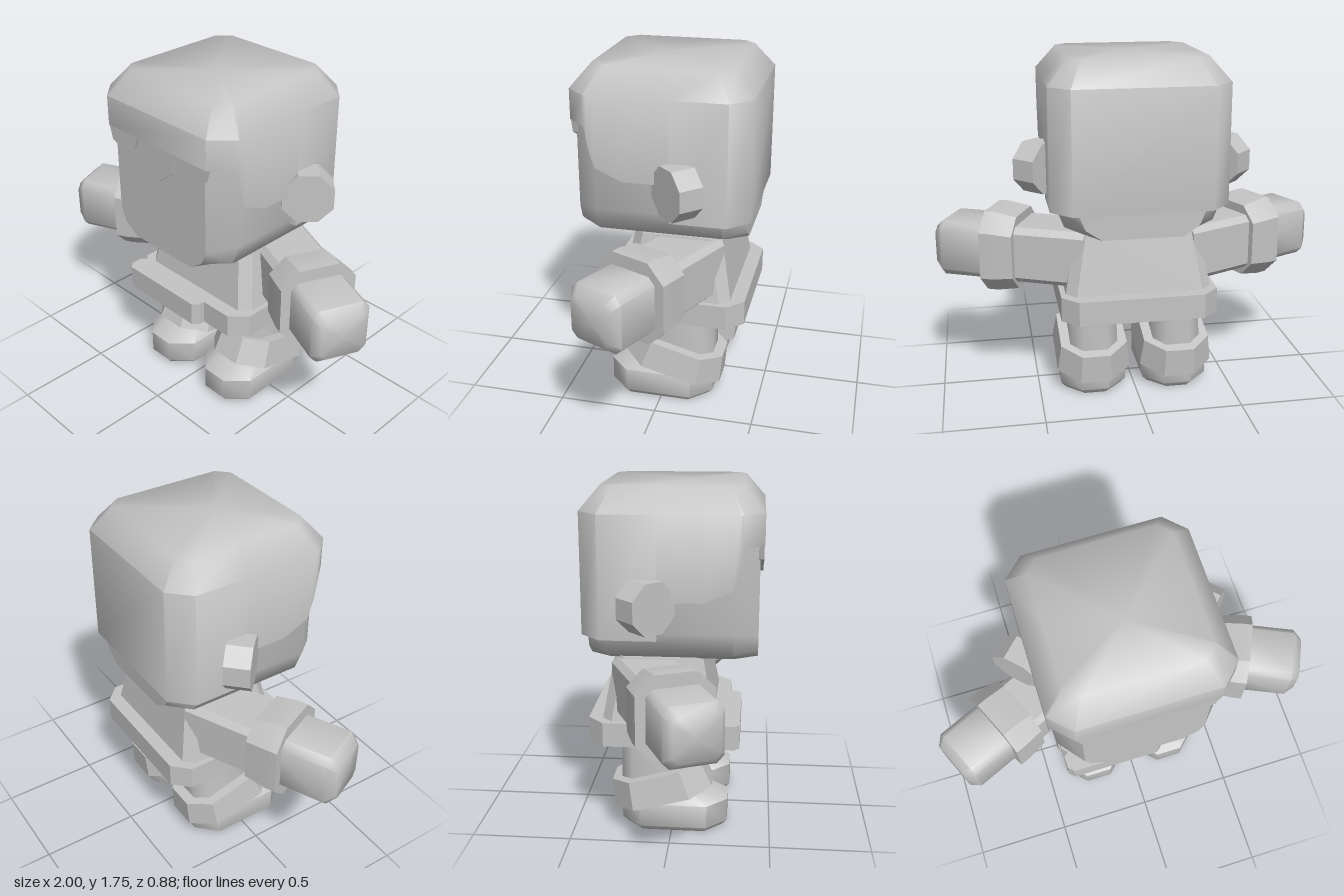
import * as THREE from 'three';
import { toCreasedNormals } from 'three/addons/utils/BufferGeometryUtils.js';

const grey = new THREE.MeshStandardMaterial({ color: 0xc4c4c4 });
grey.name = 'plain grey';

function add(parent, name, geometry) {
  const mesh = new THREE.Mesh(geometry, grey);
  mesh.name = name;
  parent.add(mesh);
  return mesh;
}

// Closed skin through rings of equal point count, wound outward
function skin(rings, crease = 0.7) {
  const tris = [];
  const n = rings[0].length;
  for (let r = 0; r + 1 < rings.length; r++) {
    const a = rings[r], b = rings[r + 1];
    for (let i = 0; i < n; i++) {
      const j = (i + 1) % n;
      tris.push([a[i], a[j], b[j]], [a[i], b[j], b[i]]);
    }
  }
  const cap = (ring, flip) => {
    const mid = [0, 1, 2].map(k => ring.reduce((s, p) => s + p[k], 0) / n);
    ring.forEach((p, i) => {
      const q = ring[(i + 1) % n];
      tris.push(flip ? [mid, q, p] : [mid, p, q]);
    });
  };
  cap(rings[0], true);
  cap(rings[rings.length - 1], false);
  const vec = p => new THREE.Vector3(...p);
  const volume = tris.reduce((s, t) => s + vec(t[0]).dot(vec(t[1]).cross(vec(t[2]))), 0);
  if (volume < 0) tris.forEach(t => t.reverse());
  const g = new THREE.BufferGeometry();
  g.setAttribute('position', new THREE.Float32BufferAttribute(tris.flat(2), 3));
  return toCreasedNormals(g, crease);
}

// Rectangle with cut corners
const octagon = (a, b, c) => [
  [a, b - c], [a - c, b], [c - a, b], [-a, b - c],
  [-a, c - b], [c - a, -b], [a - c, -b], [a, c - b],
];
// Sections listed as [height, half x, half z, corner, z shift]
const stack = (sections, crease) => skin(sections.map(([y, hx, hz, c, z0 = 0]) =>
  octagon(hx, hz, c).map(([x, z]) => [x, y, z + z0])), crease);
// Sections listed as [x, half y, half z, corner]
const row = (sections, crease) => skin(sections.map(([x, hy, hz, c]) =>
  octagon(hy, hz, c).map(([y, z]) => [x, y, z])), crease);

function buildHead(parent) {
  const head = new THREE.Group();
  head.name = 'head';
  parent.add(head);

  // Face block, narrowed at its front and back
  const outer = [[0.415, 1.6], [0.415, 1.06], [0.37, 0.945], [0.27, 0.9]];
  const inner = [[0.31, 1.6], [0.31, 1.03], [0.28, 0.955], [0.2, 0.9]];
  const faceRing = (half, z) =>
    [...half, ...half.slice().reverse().map(([x, y]) => [-x, y])].map(([x, y]) => [x, y, z]);
  add(head, 'face', skin([
    faceRing(inner, 0.42), faceRing(outer, 0.3), faceRing(outer, -0.31), faceRing(inner, -0.415),
  ], 0.85));

  // Hair cap: one side as [z, lower edge], swept from temple to nape
  const side = [[0.34, 1.48], [0.325, 1.38], [0.295, 1.28], [0.16, 1.22], [0, 1.22],
    [-0.06, 1.22], [-0.065, 1.03], [-0.34, 1.03]];
  const hairRing = (half, corner, height) => {
    const k = (half - corner) / 0.34;
    const right = [
      [half - corner, height ?? 1.48, half],
      ...side.map(([z, low]) => [half, height ?? low, z * k]),
      [half - corner, height ?? 1.03, -half],
    ];
    return [...right, ...right.slice().reverse().map(([x, y, z]) => [-x, y, z])];
  };
  add(head, 'hair', skin([
    hairRing(0.38, 0.1), hairRing(0.44, 0.1), hairRing(0.44, 0.1, 1.63), hairRing(0.34, 0.06, 1.75),
  ], 0.9));

  // Jagged fringe
  const edge = [[0.34, 1.48], [0.32, 1.41], [0.24, 1.37], [0.16, 1.41], [0.13, 1.48], [0.1, 1.37]];
  const outline = [[0.34, 1.52], ...edge, [0, 1.29],
    ...edge.slice().reverse().map(([x, y]) => [-x, y]), [-0.34, 1.52]];
  const fringe = new THREE.ExtrudeGeometry(
    new THREE.Shape(outline.map(p => new THREE.Vector2(...p))), { depth: 0.025, bevelEnabled: false });
  add(head, 'fringe', fringe.translate(0, 0, 0.412));

  // Eight-sided ears turned forward
  for (const s of [1, -1]) {
    const ear = new THREE.CylinderGeometry(0.135, 0.135, 0.127, 8).toNonIndexed();
    ear.rotateY(Math.PI / 8).rotateX(Math.PI / 2).rotateY(s * Math.PI / 4);
    ear.translate(s * 0.465, 1.205, -0.11);
    add(head, s > 0 ? 'leftEar' : 'rightEar', toCreasedNormals(ear, 0.5));
  }
}

function buildArm(parent, s) {
  const arm = new THREE.Group();
  arm.name = s > 0 ? 'leftArm' : 'rightArm';
  arm.position.set(s * 0.625, 0.755, 0.02);
  arm.rotation.y = s > 0 ? -0.42 : Math.PI + 0.42;
  parent.add(arm);
  add(arm, 'sleeve', row([[-0.45, 0.145, 0.155, 0.03], [0, 0.145, 0.155, 0.03]], 0.3));
  add(arm, 'cuff', row([
    [-0.085, 0.19, 0.185, 0.08], [0.03, 0.21, 0.195, 0.09], [0.085, 0.21, 0.195, 0.09],
  ], 0.4));
  add(arm, 'hand', row([
    [0, 0.145, 0.145, 0.035], [0.315, 0.145, 0.145, 0.035], [0.36, 0.105, 0.112, 0.03],
  ], 0.95));
}

function buildLeg(parent, s) {
  const leg = new THREE.Group();
  leg.name = s > 0 ? 'leftLeg' : 'rightLeg';
  leg.position.x = s * 0.218;
  parent.add(leg);
  add(leg, 'trouserLeg', stack([[0.1, 0.13, 0.19, 0.06, -0.07], [0.49, 0.115, 0.19, 0.06, -0.07]], 0.85));
  // Tilted boot band
  const band = add(leg, 'bootBand', stack([
    [-0.073, 0.19, 0.258, 0.11], [0.073, 0.172, 0.232, 0.1],
  ], 0.4));
  band.position.set(0, 0.23, -0.067);
  band.rotation.x = -0.26;
  // Foot with sloped instep
  add(leg, 'foot', stack([
    [0, 0.145, 0.245, 0.09, 0.01], [0.03, 0.17, 0.27, 0.1, 0.01],
    [0.15, 0.17, 0.27, 0.1, 0.01], [0.22, 0.11, 0.19, 0.07, -0.05],
  ], 0.85));
}

export function createModel() {
  const model = new THREE.Group();
  model.name = 'figure';
  buildHead(model);

  // Tunic and its hem, set slightly back
  add(model, 'tunic', stack([[0.58, 0.37, 0.28, 0.05, -0.07], [0.91, 0.31, 0.22, 0.05, -0.07]], 0.4));
  add(model, 'hem', stack([[0.465, 0.395, 0.35, 0.08, -0.07], [0.59, 0.395, 0.35, 0.08, -0.07]], 0.4));
  // Overlapping flap on the front of the hem
  const flap = stack([[0.465, 0.268, 0.06, 0.03], [0.59, 0.268, 0.06, 0.03]], 0.4);
  add(model, 'hemFlap', flap.translate(-0.125, 0, 0.28));

  for (const s of [1, -1]) {
    buildArm(model, s);
    buildLeg(model, s);
  }
  return model;
}
